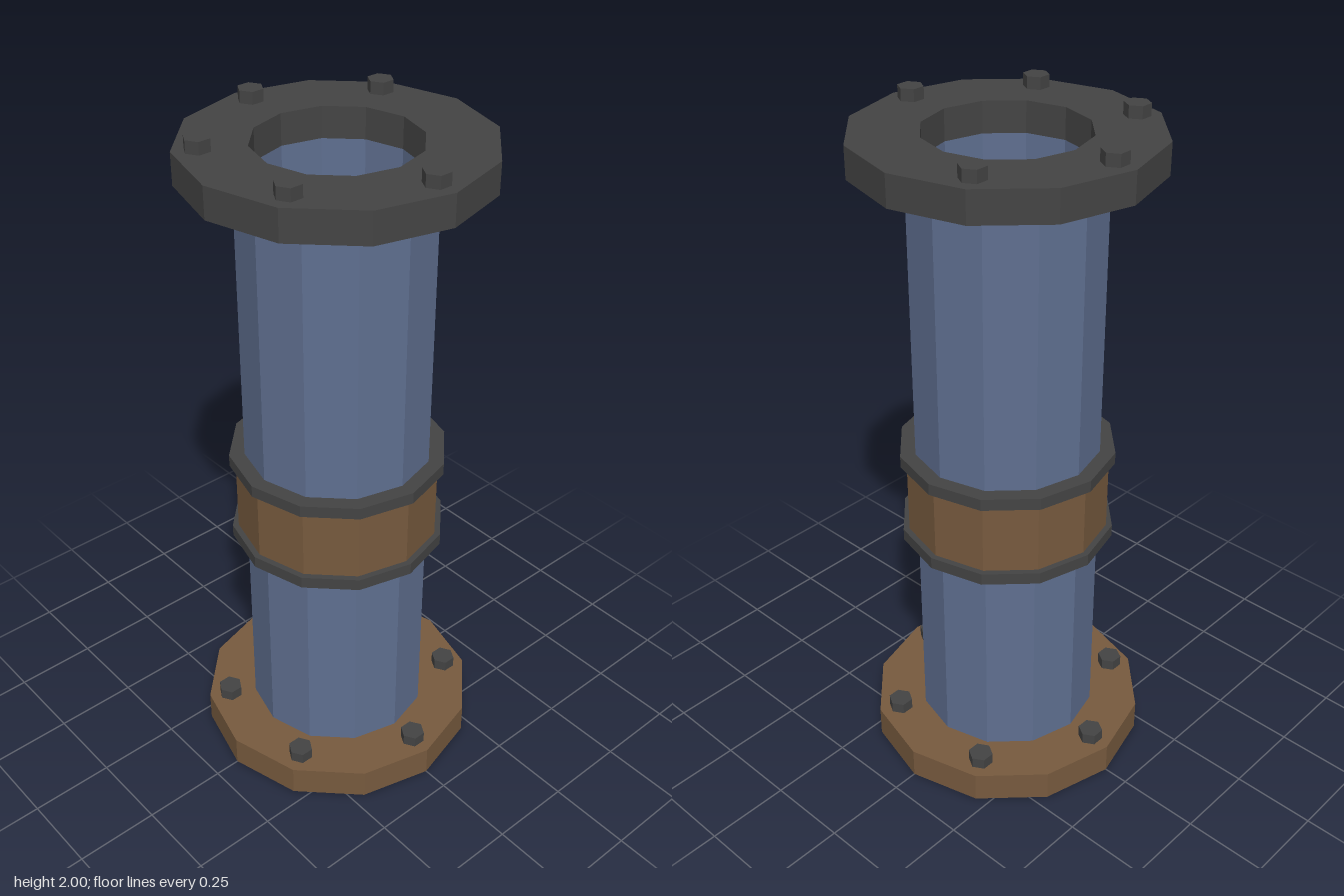
import * as THREE from 'three';

export function createModel() {
  const model = new THREE.Group();
  model.name = 'flangedPipe';

  const paint = (name, color) => {
    const m = new THREE.MeshStandardMaterial({ color, flatShading: true });
    m.name = name;
    return m;
  };
  const blue = paint('paintedBlue', 0x5f6f90);
  const rust = paint('rustBrown', 0x775a3e);
  const iron = paint('darkIron', 0x444444);

  const add = (name, geometry, material, parent = model) => {
    const mesh = new THREE.Mesh(geometry, material);
    mesh.name = name;
    parent.add(mesh);
    return mesh;
  };

  // Twelve-sided hollow ring with a rectangular section
  const ring = (name, inner, outer, y0, y1, material) => {
    const profile = [[inner, y0], [outer, y0], [outer, y1], [inner, y1], [inner, y0]]
      .map(([r, y]) => new THREE.Vector2(r, y));
    return add(name, new THREE.LatheGeometry(profile, 12), material);
  };

  // Hexagonal bolt heads around a flange, leaving out any missing ones
  const bolts = (name, y0, y1, missing = []) => {
    const group = new THREE.Group();
    group.name = name;
    const head = new THREE.CylinderGeometry(0.037, 0.037, y1 - y0, 6);
    for (let i = 0; i < 6; i++) {
      if (missing.includes(i)) continue;
      const a = i * Math.PI / 3;
      add('bolt', head, iron, group)
        .position.set(0.354 * Math.cos(a), (y0 + y1) / 2, 0.354 * Math.sin(a));
    }
    model.add(group);
  };

  // Pipe and end flanges
  ring('pipe', 0.228, 0.273, 0.095, 1.875, blue);
  ring('bottomFlange', 0.228, 0.422, 0, 0.095, rust);
  ring('topFlange', 0.228, 0.422, 1.875, 1.965, iron);

  // Coupling band with a collar at each edge
  ring('couplingBand', 0.27, 0.3, 0.78, 0.998, rust);
  ring('lowerCollar', 0.27, 0.318, 0.744, 0.78, iron);
  ring('upperCollar', 0.27, 0.318, 0.998, 1.034, iron);

  // Bolts: one is lost from the top flange
  bolts('bottomBolts', 0.095, 0.13);
  bolts('topBolts', 1.965, 2, [5]);

  return model;
}
